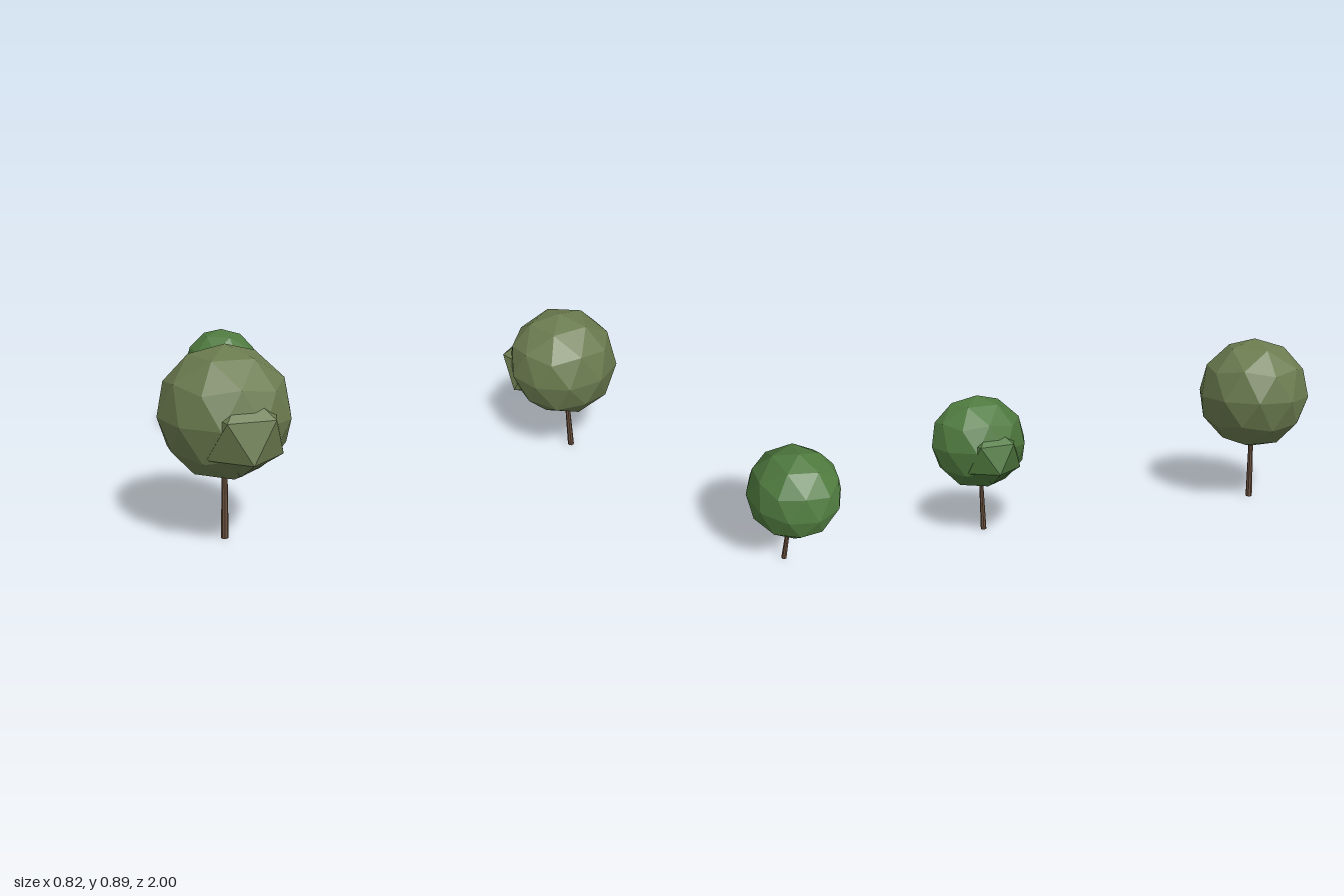
import * as THREE from 'three';

const deg = THREE.MathUtils.degToRad;

const paint = (color) => new THREE.MeshStandardMaterial({ color, flatShading: true });

// Faceted ball with a corner pointing straight up
function facetedBall(radius, detail) {
  const geometry = new THREE.IcosahedronGeometry(radius, detail);
  geometry.rotateX(-Math.atan((1 + Math.sqrt(5)) / 2));
  return geometry;
}

function part(name, geometry, material, x, y, z) {
  const mesh = new THREE.Mesh(geometry, material);
  mesh.name = name;
  mesh.position.set(x, y, z);
  return mesh;
}

// A full-size tree is 0.895 tall, standing on its own origin
function makeTree({ name, x, z, turn, scale, leaf, bark }) {
  const tree = new THREE.Group();
  tree.name = name;
  const leaves = paint(leaf);

  // Tapered trunk, running up into the crown
  const trunkHeight = 0.36;
  tree.add(part('trunk', new THREE.CylinderGeometry(0.012, 0.018, trunkHeight, 8),
    paint(bark), 0, trunkHeight / 2, 0));

  // Round crown with a coarser tuft bulging from its side
  tree.add(part('crown', facetedBall(0.3, 1), leaves, 0, 0.595, 0));
  tree.add(part('tuft', facetedBall(0.196, 0), leaves, -0.075, 0.548, 0.15));

  tree.position.set(x, 0, z);
  tree.rotation.y = deg(turn);
  tree.scale.setScalar(scale);
  return tree;
}

export function createModel() {
  const model = new THREE.Group();
  model.name = 'twoTrees';
  const trees = [
    { name: 'largeTree', x: 0.11, z: 0.69, turn: 61.5, scale: 1, leaf: 0x6b7b4f, bark: 0x6b523f },
    { name: 'smallTree', x: -0.168, z: -0.785, turn: -36, scale: 0.768, leaf: 0x4f7a3f, bark: 0x6b523f },
  ];
  for (const tree of trees) model.add(makeTree(tree));
  return model;
}
